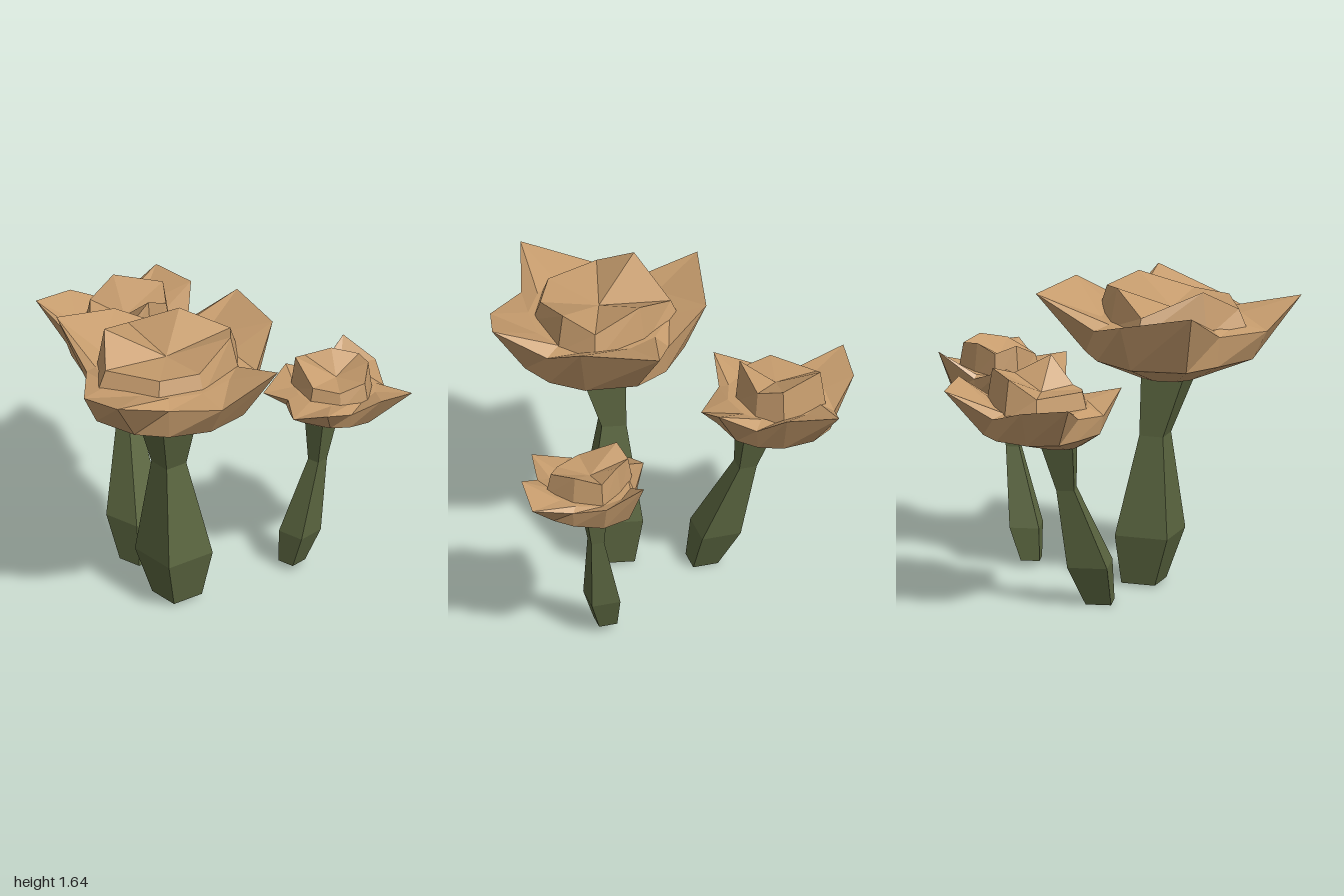
import * as THREE from 'three';

const capTan = new THREE.MeshStandardMaterial({ color: 0xc69c6d });
const stemGreen = new THREE.MeshStandardMaterial({ color: 0x5b6640 });
capTan.name = 'capTan';
stemGreen.name = 'stemGreen';

// Flat-faced skin over rings of [x, y, z]; a one-point ring closes an end as a fan.
function loft(name, rings, material) {
  const pos = [];
  for (let r = 0; r + 1 < rings.length; r++) {
    const lo = rings[r], hi = rings[r + 1];
    const n = Math.max(lo.length, hi.length);
    for (let i = 0; i < n; i++) {
      const a = lo[i % lo.length], b = lo[(i + 1) % lo.length];
      const c = hi[i % hi.length], d = hi[(i + 1) % hi.length];
      if (lo.length > 1) pos.push(...a, ...c, ...b);
      if (hi.length > 1) pos.push(...b, ...c, ...d);
    }
  }
  const geo = new THREE.BufferGeometry();
  geo.setAttribute('position', new THREE.Float32BufferAttribute(pos, 3));
  geo.computeVertexNormals();
  const mesh = new THREE.Mesh(geo, material);
  mesh.name = name;
  return mesh;
}

// Square stem, swollen near the ground and pinched below the head
function makeStem({ path, ground, height, girth, turn }) {
  const ys = [ground, height * 0.25, height * 0.71, height];
  const swell = [0.78, 1.22, 0.55, 1];
  const rings = path.map(([x, z], i) => [0, 1, 2, 3].map(k => {
    const a = turn + k * Math.PI / 2, r = girth * swell[i];
    return [x + r * Math.cos(a), ys[i], z + r * Math.sin(a)];
  }));
  const [x, z] = path[0];
  return loft('stem', [[[x, ground, z]], ...rings], stemGreen);
}

// Four petals of two tips each, with a low gap before every petal
function petalEdge({ petals, centre: [cx, cz], gapY }) {
  return petals.flatMap(([a, b], i) => {
    const before = petals[(i + 3) % 4][1];
    const gap = [
      cx + 0.83 * ((before[0] + a[0]) / 2 - cx), gapY,
      cz + 0.83 * ((before[2] + a[2]) / 2 - cz)];
    return [gap, a, b];
  });
}

// Ring around `at`, following the directions of the petal edge, up to radius r
function ringTowards(edge, [cx, cz], at, r, y) {
  return edge.map(([x, , z]) => {
    const len = Math.hypot(x - cx, z - cz);
    const s = Math.min(r, len * 0.96) / len;
    return [at[0] + (x - cx) * s, y, at[1] + (z - cz) * s];
  });
}

function makePlant(name, p) {
  const { centre: [cx, cz], centre, cupRadius: r, gapY, cupY } = p;
  const g = new THREE.Group();
  g.name = name;
  g.add(makeStem(p));

  // Bowl whose edge spreads into pointed petals
  const edge = petalEdge(p);
  const top = p.path[3];
  const footY = p.height - 0.02;
  g.add(loft('petals', [
    [[top[0], footY, top[1]]],
    ringTowards(edge, centre, top, p.girth * 1.05, footY),
    ringTowards(edge, centre, centre, r * 1.16, footY + 0.42 * (gapY - footY)),
    edge,
    ringTowards(edge, centre, centre, r * 0.95, cupY),
    [[cx, cupY, cz]],
  ], capTan));

  // Shallow cup in the middle with an uneven rim
  g.add(loft('innerCup', [
    p.rim.map(([x, , z]) => [cx + (x - cx) * 1.13, cupY - 0.03, cz + (z - cz) * 1.13]),
    p.rim,
    [[cx, p.dishY, cz]],
  ], capTan));
  return g;
}

export function createModel() {
  const model = new THREE.Group();
  model.name = 'plantCluster';
  model.add(makePlant('largePlant', {
    path: [[0.155, 0.135], [0.157, 0.167], [0.145, 0.195], [0.185, 0.27]],
    ground: 0.025, height: 1.16, girth: 0.168, turn: 1.06,
    centre: [0.19, 0.28], cupRadius: 0.39, gapY: 1.425, cupY: 1.45, dishY: 1.5,
    petals: [
      [[0.13, 1.575, -0.43], [0.5, 1.58, -0.24]],
      [[0.835, 1.56, 0.17], [0.715, 1.44, 0.5]],
      [[0.365, 1.53, 0.95], [0.03, 1.42, 0.79]],
      [[-0.42, 1.6, 0.42], [-0.32, 1.52, 0.04]]],
    rim: [
      [-0.16, 1.53, 0.14], [0.07, 1.63, 0], [0.35, 1.57, -0.07], [0.47, 1.62, 0.09],
      [0.48, 1.53, 0.38], [0.36, 1.53, 0.57], [0.06, 1.53, 0.64], [-0.08, 1.655, 0.46]],
  }));
  model.add(makePlant('mediumPlant', {
    path: [[-0.25, -0.07], [-0.308, -0.12], [-0.43, -0.235], [-0.475, -0.275]],
    ground: 0.015, height: 0.95, girth: 0.122, turn: 0.86,
    centre: [-0.55, -0.36], cupRadius: 0.27, gapY: 1.14, cupY: 1.16, dishY: 1.23,
    petals: [
      [[-0.71, 1.27, -0.86], [-0.44, 1.28, -0.8]],
      [[-0.145, 1.24, -0.57], [-0.155, 1.1, -0.3]],
      [[-0.365, 1.21, 0.05], [-0.6, 1.12, -0.03]],
      [[-1, 1.25, -0.19], [-0.96, 1.22, -0.44]]],
    rim: [
      [-0.74, 1.345, -0.52], [-0.49, 1.34, -0.62], [-0.39, 1.29, -0.51],
      [-0.365, 1.385, -0.32], [-0.43, 1.24, -0.2], [-0.48, 1.23, -0.15],
      [-0.61, 1.25, -0.14], [-0.78, 1.25, -0.37]],
  }));
  model.add(makePlant('smallPlant', {
    path: [[0.453, -0.473], [0.485, -0.502], [0.547, -0.573], [0.567, -0.583]],
    ground: 0.05, height: 0.9, girth: 0.09, turn: 0.86,
    centre: [0.61, -0.65], cupRadius: 0.225, gapY: 1.03, cupY: 1.05, dishY: 1.11,
    petals: [
      [[0.43, 1.17, -0.96], [0.64, 1.09, -0.96]],
      [[0.995, 1.07, -0.8], [0.965, 1.11, -0.57]],
      [[0.805, 1.08, -0.31], [0.59, 1, -0.3]],
      [[0.3, 1.01, -0.43], [0.3, 1.1, -0.63]]],
    rim: [
      [0.4, 1.17, -0.66], [0.5, 1.2, -0.76], [0.62, 1.17, -0.84], [0.74, 1.19, -0.76],
      [0.82, 1.15, -0.62], [0.74, 1.11, -0.51], [0.6, 1.12, -0.46], [0.42, 1.21, -0.55]],
  }));
  return model;
}
